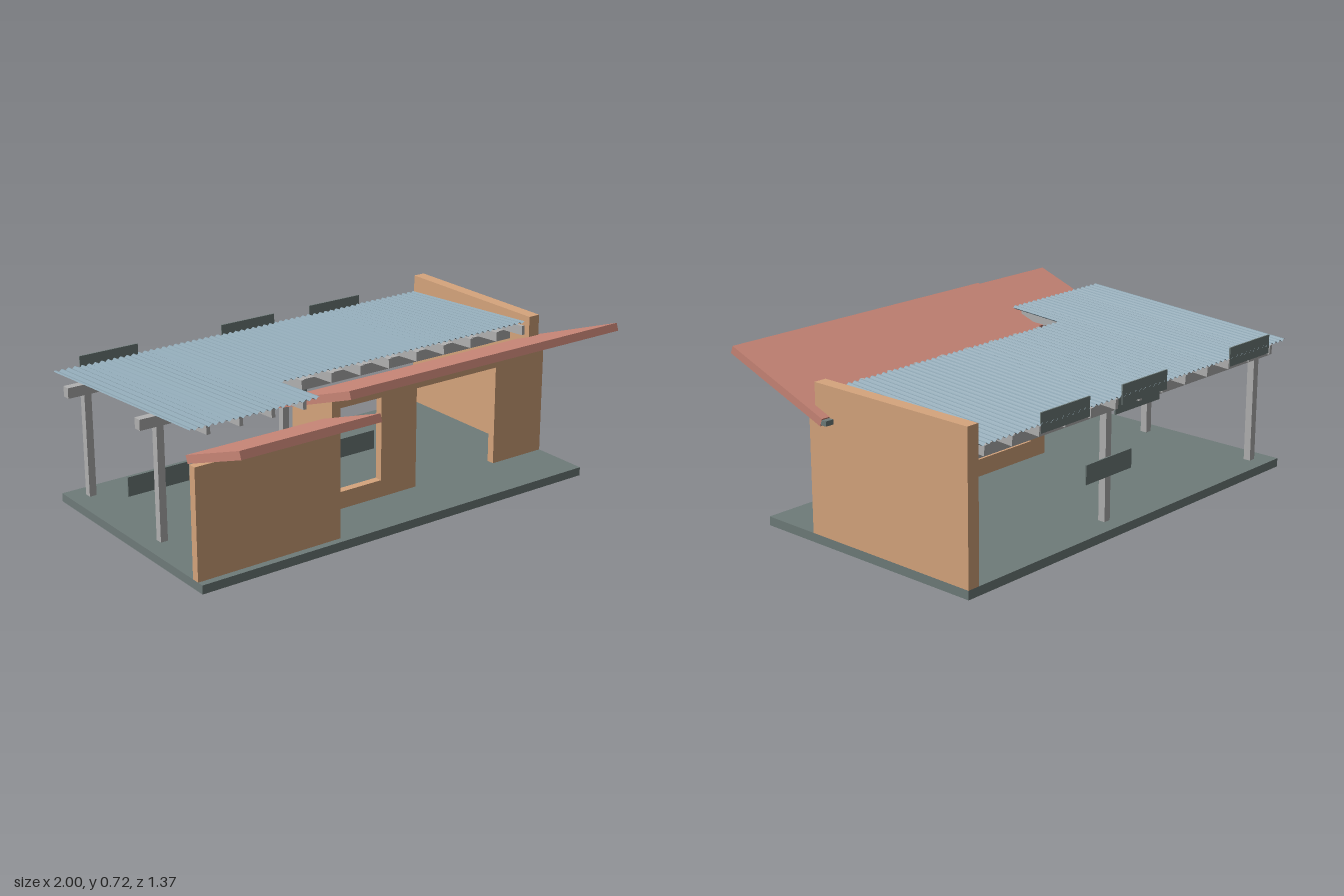
import * as THREE from 'three';

const mat = (name, color, extra = {}) => {
  const m = new THREE.MeshStandardMaterial({ color, ...extra });
  m.name = name;
  return m;
};

export function createModel() {
  const group = new THREE.Group();
  const tan = mat('tan wall', 0xd6a57d);
  const clay = mat('clay red awning', 0xc98677);
  const slate = mat('slate grey', 0x6f7c7a);
  const steel = mat('light grey timber', 0xb2b2b2);
  const sheet = mat('blue grey roof sheet', 0x8ba3b0, { side: THREE.DoubleSide, flatShading: true });

  const add = (name, geometry, material) => {
    const mesh = new THREE.Mesh(geometry, material);
    mesh.name = name;
    group.add(mesh);
    return mesh;
  };
  // Box given by its limits on each axis
  const box = (name, material, x0, x1, y0, y1, z0, z1) => {
    const mesh = add(name, new THREE.BoxGeometry(x1 - x0, y1 - y0, z1 - z0), material);
    mesh.position.set((x0 + x1) / 2, (y0 + y1) / 2, (z0 + z1) / 2);
    return mesh;
  };

  // Floor and plain walls
  const floor = 0.037;
  box('floorSlab', slate, -0.96, 0.96, 0, floor, -0.67, 0.41);
  box('sideWall', tan, 0.905, 0.96, floor, 0.65, -0.67, 0.117);
  box('frontLeftWall', tan, -0.96, -0.34, floor, 0.5, 0.345, 0.38);

  // Front wall with a window and a doorway
  const wall = new THREE.Shape([
    [-0.3, floor], [0.26, floor], [0.26, 0.475], [0.69, 0.475],
    [0.69, floor], [0.96, floor], [0.96, 0.522], [-0.3, 0.522],
  ].map(([x, y]) => new THREE.Vector2(x, y)));
  wall.holes.push(new THREE.Path([
    [-0.25, 0.112], [-0.25, 0.475], [0.077, 0.475], [0.077, 0.112],
  ].map(([x, y]) => new THREE.Vector2(x, y))));
  add('frontWall', new THREE.ExtrudeGeometry(wall, { depth: 0.035, bevelEnabled: false }), tan)
    .position.z = 0.117;

  // Return wall, its top cut to the slope of the awning
  const cheek = new THREE.Shape([
    [-0.38, floor], [-0.117, floor], [-0.117, 0.522], [-0.15, 0.535], [-0.38, 0.619],
  ].map(([z, y]) => new THREE.Vector2(z, y)));
  const cheekGeo = new THREE.ExtrudeGeometry(cheek, { depth: 0.04, bevelEnabled: false });
  cheekGeo.rotateY(Math.PI / 2);
  add('returnWall', cheekGeo, tan).position.x = -0.34;

  // Sloping awnings
  const awning = (name, x0, x1, y, z, length) => {
    const mesh = box(name, clay, x0, x1, y - 0.0165, y + 0.0165, z - length / 2, z + length / 2);
    mesh.rotation.x = -0.352;
  };
  awning('mainAwning', -0.38, 0.998, 0.6075, 0.2965, 0.537);
  awning('leftAwning', -0.96, -0.34, 0.58, 0.5065, 0.381);

  // Corrugated roof sheets
  const roofY = (z) => 0.613 + 0.065 * z;
  const pitch = 0.03;
  const roof = (name, x0, x1, z0, z1) => {
    const w = x1 - x0;
    const geo = new THREE.PlaneGeometry(w, z1 - z0, Math.round(w / pitch) * 6, 1);
    geo.rotateX(-Math.PI / 2);
    geo.translate((x0 + x1) / 2, 0, (z0 + z1) / 2);
    const p = geo.attributes.position;
    for (let i = 0; i < p.count; i++) {
      const wave = 0.005 * Math.sin(((p.getX(i) + 0.96) / pitch) * Math.PI * 2);
      p.setY(i, roofY(p.getZ(i)) + wave);
    }
    geo.computeVertexNormals();
    add(name, geo, sheet);
  };
  roof('leftRoofSheet', -0.96, -0.38, -0.68, 0.355);
  roof('mainRoofSheet', -0.38, 0.905, -0.68, 0.085);

  // Rafters following the roof slope
  for (let i = 0; i < 13; i++) {
    const x = -0.861 + i * 0.1447;
    const z0 = -0.678, z1 = x < -0.38 ? 0.325 : 0.113;
    const y = roofY((z0 + z1) / 2) - 0.026;
    box('rafter', steel, x - 0.008, x + 0.008, y - 0.02, y + 0.02, z0, z1)
      .rotation.x = -Math.atan(0.065);
  }

  // Beams and posts
  box('rearBeam', steel, -0.96, 0.905, 0.485, 0.53, -0.603, -0.567);
  box('middleBeam', steel, -0.96, 0.905, 0.522, 0.567, -0.04, -0.004);
  for (const [x, z, top] of [[-0.87, -0.585, 0.49], [0.105, -0.585, 0.49], [-0.87, -0.022, 0.525]])
    box('post', steel, x - 0.016, x + 0.016, floor, top, z - 0.016, z + 0.016);

  // Thin blank plates
  const plates = [
    [0.449, 0.573, -0.676], [-0.016, 0.573, -0.676], [-0.706, 0.573, -0.676],
    [-0.06, 0.508, -0.607], [-0.04, 0.545, -0.045],
    [0.107, 0.265, -0.605], [-0.864, 0.29, -0.042], [-0.087, 0.295, 0.134],
  ];
  for (const [x, y, z] of plates)
    box('plate', slate, x - 0.137, x + 0.137, y - 0.04, y + 0.04, z - 0.003, z + 0.003);

  // Small fixings
  box('doorCatch', slate, -0.3, -0.284, 0.356, 0.374, 0.15, 0.162);
  box('awningBracket', slate, 0.96, 0.998, 0.505, 0.525, 0.018, 0.045);

  return group;
}
